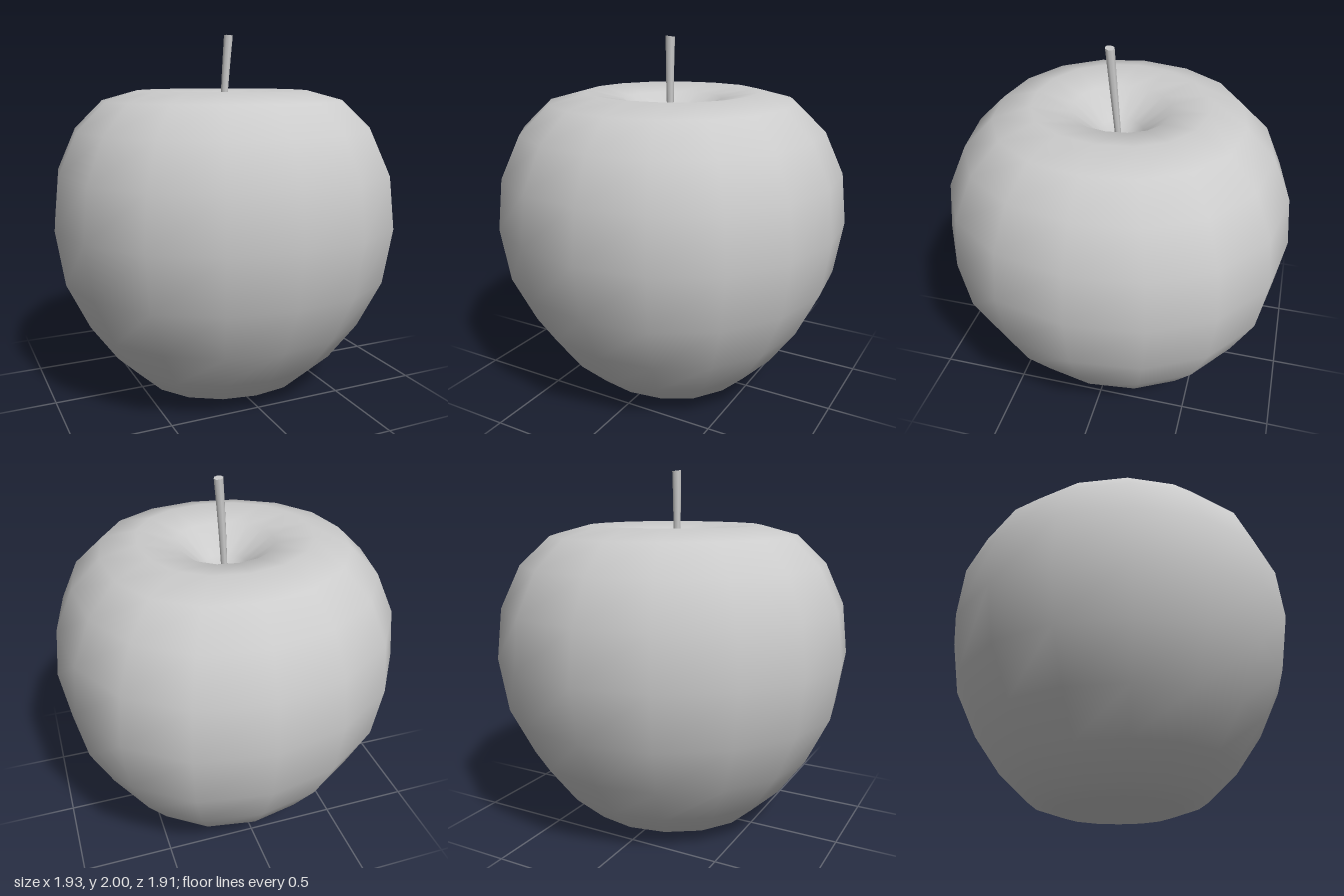
import * as THREE from 'three';

// Outline seen from above: slightly irregular 16-sided ring of [x, z]
const PLAN = [
  [0, 0.955], [0.37, 0.9], [0.68, 0.72], [0.885, 0.42],
  [0.965, 0.04], [0.92, -0.35], [0.75, -0.67], [0.45, -0.89],
  [0.05, -0.96], [-0.34, -0.88], [-0.68, -0.66], [-0.895, -0.34],
  [-0.97, 0.04], [-0.9, 0.4], [-0.69, 0.7], [-0.37, 0.89],
];

// Profile from the bottom dimple to the stem hollow: [radius, height]
const PROFILE = [
  [0, 0.07], [0.15, 0.04], [0.315, 0], [0.485, 0.06], [0.645, 0.21], [0.795, 0.42],
  [0.92, 0.68], [0.967, 0.98], [0.937, 1.26], [0.833, 1.49], [0.675, 1.645],
  [0.475, 1.7], [0.27, 1.66], [0.12, 1.53], [0, 1.42],
];

function fruitGeometry() {
  const n = PLAN.length;
  const rings = PROFILE.slice(1, -1);
  const positions = [];
  const index = [];
  for (const [r, y] of rings) {
    for (const [x, z] of PLAN) positions.push((x * r) / 0.967, y, (z * r) / 0.967);
  }
  // Poles
  const bottom = rings.length * n;
  const top = bottom + 1;
  positions.push(0, PROFILE[0][1], 0, 0, PROFILE[PROFILE.length - 1][1], 0.01);
  const last = (rings.length - 1) * n;
  for (let i = 0; i < n; i++) {
    const j = (i + 1) % n;
    index.push(bottom, j, i, top, last + i, last + j);
    for (let k = 0; k < rings.length - 1; k++) {
      const a = k * n + i, b = k * n + j;
      index.push(a, b, b + n, a, b + n, a + n);
    }
  }
  const geometry = new THREE.BufferGeometry();
  geometry.setAttribute('position', new THREE.Float32BufferAttribute(positions, 3));
  geometry.setIndex(index);
  geometry.computeVertexNormals();
  return geometry;
}

// Tapered cylinder bent along a gentle curve
function stemGeometry() {
  const base = 1.4, height = 0.595;
  const geometry = new THREE.CylinderGeometry(0.026, 0.016, height, 8, 5);
  const curve = new THREE.QuadraticBezierCurve3(
    new THREE.Vector3(0, base, 0.01),
    new THREE.Vector3(0.003, base + height / 2, 0.035),
    new THREE.Vector3(0.02, base + height, 0.055),
  );
  const p = geometry.attributes.position;
  for (let i = 0; i < p.count; i++) {
    const t = Math.min(1, Math.max(0, p.getY(i) / height + 0.5));
    const c = curve.getPoint(t);
    // Tilt the cut end a little
    const tilt = -0.2 * t * p.getX(i) * 0.5 + 0.2 * t * p.getZ(i) * 0.5;
    p.setXYZ(i, c.x + p.getX(i), c.y + tilt, c.z + p.getZ(i));
  }
  return geometry;
}

export function createModel() {
  const group = new THREE.Group();
  const material = new THREE.MeshStandardMaterial({ color: 0xcccccc });

  const fruit = new THREE.Mesh(fruitGeometry(), material);
  fruit.name = 'fruitBody';
  const stem = new THREE.Mesh(stemGeometry(), material);
  stem.name = 'stem';

  group.add(fruit, stem);
  return group;
}
